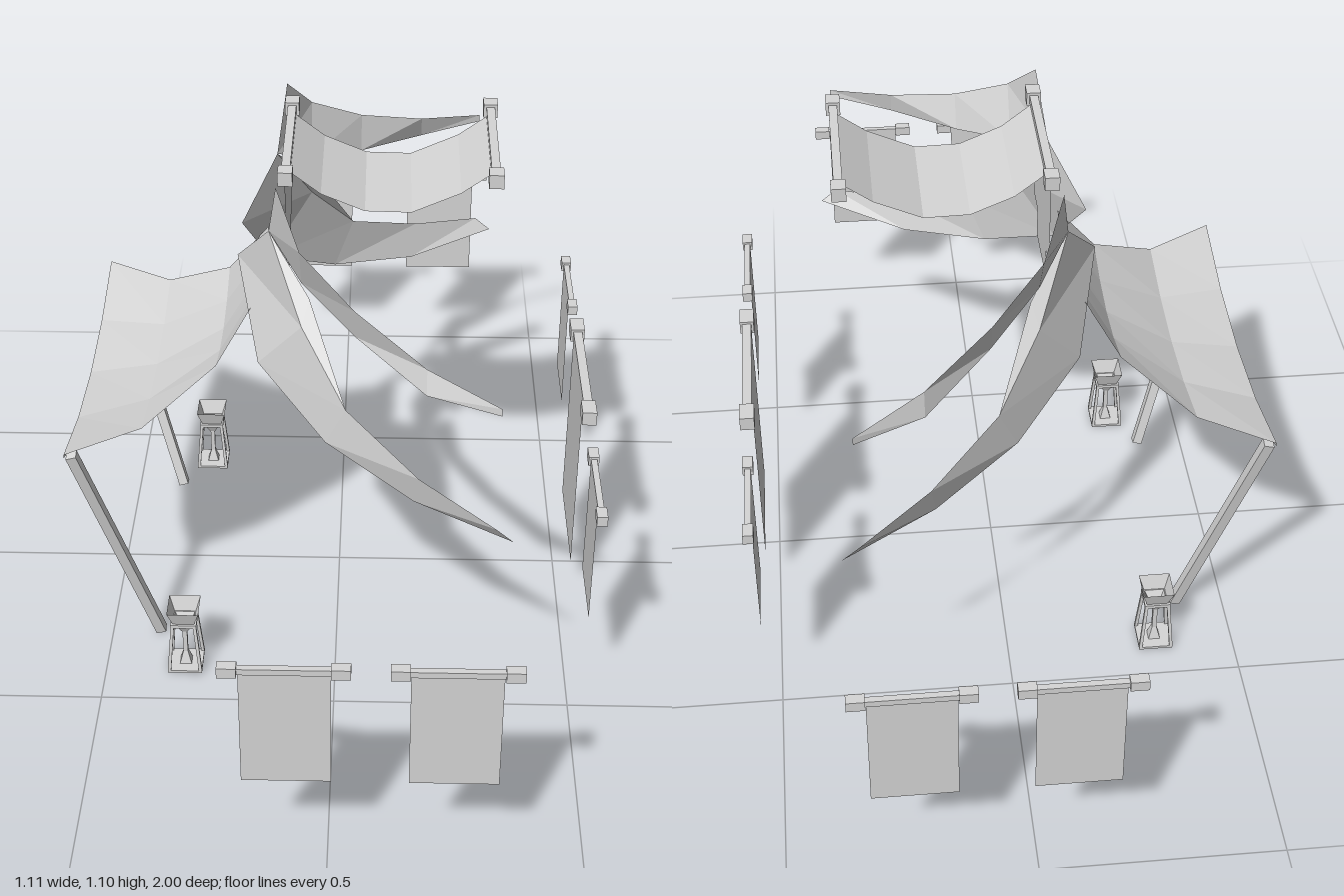
import * as THREE from 'three';

const canvas = new THREE.MeshStandardMaterial({ color: 0xd6d6d6, flatShading: true, side: THREE.DoubleSide });
canvas.name = 'pale grey';

function add(parent, name, geo, x = 0, y = 0, z = 0) {
  const m = new THREE.Mesh(geo, canvas);
  m.name = name;
  m.position.set(x, y, z);
  parent.add(m);
  return m;
}

function group(parent, name, x = 0, y = 0, z = 0) {
  const g = new THREE.Group();
  g.name = name;
  g.position.set(x, y, z);
  parent.add(g);
  return g;
}

// Sheet through rows of points, every row having the same count
function sheet(rows) {
  const n = rows[0].length, idx = [];
  for (let i = 0; i < rows.length - 1; i++)
    for (let j = 0; j < n - 1; j++) {
      const a = i * n + j, b = a + n;
      idx.push(a, b, a + 1, a + 1, b, b + 1);
    }
  const g = new THREE.BufferGeometry();
  g.setAttribute('position', new THREE.Float32BufferAttribute(rows.flat(2), 3));
  g.setIndex(idx);
  const flat = g.toNonIndexed();
  flat.computeVertexNormals();
  return flat;
}

// Square bar between two points
function bar(parent, name, a, b, w) {
  const p = new THREE.Vector3(...a), q = new THREE.Vector3(...b);
  const m = add(parent, name, new THREE.BoxGeometry(w, p.distanceTo(q), w));
  m.position.copy(p).add(q).multiplyScalar(0.5);
  m.quaternion.setFromUnitVectors(new THREE.Vector3(0, 1, 0), q.sub(p).normalize());
  return m;
}

// Rod along x with a block at each end
function rod(parent, half, block, bw, rw) {
  add(parent, 'rod', new THREE.BoxGeometry(2 * half, rw, rw));
  for (const s of [-1, 1])
    add(parent, 'rodEnd', new THREE.BoxGeometry(block, bw, bw), s * (half - block / 2), 0, 0);
}

// Hanging banner: rod plus a flat cloth
function banner(parent, name, x, y, z, turn, o) {
  const g = group(parent, name, x, y, z);
  g.rotation.y = turn;
  rod(g, o.half, o.block, o.bw, o.rw);
  add(g, 'cloth', new THREE.PlaneGeometry(2 * o.cloth, o.drop), 0, o.rw / 2 - o.drop / 2, -o.rw / 2);
  return g;
}

// Four-sided tapering tube, aligned to the axes
function taper(top, bottom, h, open) {
  return new THREE.CylinderGeometry(top * Math.SQRT2, bottom * Math.SQRT2, h, 4, 1, open).rotateY(Math.PI / 4);
}

function lantern(parent, x, z) {
  const g = group(parent, 'lantern', x, 0, z);
  add(g, 'lanternBase', new THREE.BoxGeometry(0.074, 0.006, 0.074), 0, 0.003, 0);
  for (const sx of [-1, 1])
    for (const sz of [-1, 1])
      bar(g, 'lanternPost', [sx * 0.034, 0.004, sz * 0.034], [sx * 0.024, 0.12, sz * 0.024], 0.007);
  for (const s of [-1, 1]) {
    add(g, 'lanternRail', new THREE.BoxGeometry(0.056, 0.008, 0.007), 0, 0.121, s * 0.0245);
    add(g, 'lanternRail', new THREE.BoxGeometry(0.007, 0.008, 0.056), s * 0.0245, 0.121, 0);
  }
  add(g, 'lanternCup', taper(0.034, 0.023, 0.035, true), 0, 0.142, 0);
  add(g, 'lanternFunnel', taper(0.022, 0.006, 0.034, true), 0, 0.108, 0);
  add(g, 'lanternStem', taper(0.005, 0.005, 0.06, false), 0, 0.062, 0);
  add(g, 'lanternFoot', taper(0.005, 0.013, 0.03, false), 0, 0.02, 0);
}

export function createModel() {
  const model = new THREE.Group();
  model.name = 'canopyCamp';
  const dz = -0.005;

  // Small banners along both long sides and at the far end, one large banner in the middle
  const small = { half: 0.122, block: 0.036, bw: 0.022, rw: 0.013, cloth: 0.085, drop: 0.283 };
  const large = { half: 0.195, block: 0.05, bw: 0.031, rw: 0.02, cloth: 0.136, drop: 0.437 };
  for (const s of [-1, 1]) {
    for (const x of [-0.076, 0.24])
      banner(model, 'sideBanner', x, 0.509, s * 0.989, s > 0 ? 0 : Math.PI, small);
    banner(model, 'endBanner', 0.538, 0.509, s * 0.41 + dz, Math.PI / 2, small);
  }
  banner(model, 'largeBanner', 0.538, 0.529, dz, Math.PI / 2, large);

  // Top sling: two rods, a sagging cloth and a back panel with a narrow flap
  const sling = group(model, 'topSling', 0, 0, dz);
  for (const x of [-0.105, 0.318]) {
    const r = group(sling, 'slingRod', x, 1.085, 0);
    r.rotation.y = Math.PI / 2;
    rod(r, 0.183, 0.036, 0.03, 0.018);
  }
  const sag = [[-0.105, 1.085], [-0.035, 1.03], [0.055, 0.992], [0.15, 0.99], [0.25, 1.035], [0.318, 1.085]];
  add(sling, 'slingCloth', sheet(sag.map(([x, y]) => [[x, y, -0.136], [x, y, 0.136]])));
  add(sling, 'backPanel', sheet([[[-0.108, 1.085, -0.136], [-0.108, 1.085, 0.136]],
    [[-0.108, 0.855, -0.136], [-0.108, 0.855, 0.136]]]));
  add(sling, 'backFlap', sheet([[[-0.108, 0.855, -0.078], [-0.108, 0.855, 0.078]],
    [[-0.108, 0.787, -0.078], [-0.108, 0.787, 0.078]]]));

  // Curved cloth wings, mirrored in z
  const upperWing = [
    [[-0.12, 1.1, 0.245], [-0.14, 0.965, 0.175]],
    [[-0.07, 1.01, 0.345], [-0.07, 0.905, 0.28]],
    [[0.04, 0.935, 0.44], [0.04, 0.86, 0.41]],
    [[0.18, 0.875, 0.55], [0.18, 0.825, 0.565]],
    [[0.32, 0.845, 0.637], [0.32, 0.829, 0.637]],
  ];
  const lowerWing = [
    [[-0.14, 0.965, 0.175], [-0.14, 0.965, 0.175], [-0.213, 0.85, 0.07]],
    [[-0.055, 0.86, 0.265], [-0.07, 0.81, 0.295], [-0.165, 0.68, 0.225]],
    [[0.022, 0.68, 0.4], [0.022, 0.68, 0.4], [-0.02, 0.58, 0.37]],
    [[0.17, 0.605, 0.53], [0.17, 0.605, 0.53], [0.16, 0.53, 0.5]],
    [[0.32, 0.565, 0.637], [0.32, 0.565, 0.637], [0.355, 0.535, 0.637]],
  ];
  for (const s of [-1, 1]) {
    const flip = rows => rows.map(r => r.map(([x, y, z]) => [x, y, s * z + dz]));
    add(model, 'upperWing', sheet(flip(upperWing)));
    add(model, 'lowerWing', sheet(flip(lowerWing)));
  }

  // Sagging roof sheet with a curved valance along the eave
  const cols = [-1, -0.5, 0, 0.5, 1];
  const rows = [[-0.16, 0.805, 0.14, 0.02], [-0.255, 0.66, 0.21, 0.035],
    [-0.405, 0.567, 0.31, 0.037], [-0.555, 0.562, 0.403, 0.056]];
  const arc = (x, y, h, d) => cols.map(u => [x, y - d * (1 - u * u), u * h]);
  add(model, 'roofSheet', sheet(rows.map(r => arc(...r))), 0, 0, dz);
  add(model, 'valance', sheet([arc(-0.555, 0.562, 0.403, 0.056), arc(-0.555, 0.555, 0.403, 0.125)]), 0, 0, dz);

  // Leaning poles and lanterns
  for (const s of [-1, 1]) {
    bar(model, 'pole', [-0.392, 0.004, s * 0.28 + dz], [-0.543, 0.55, s * 0.385 + dz], 0.022);
    lantern(model, -0.327, s * 0.386 + dz);
  }
  return model;
}
